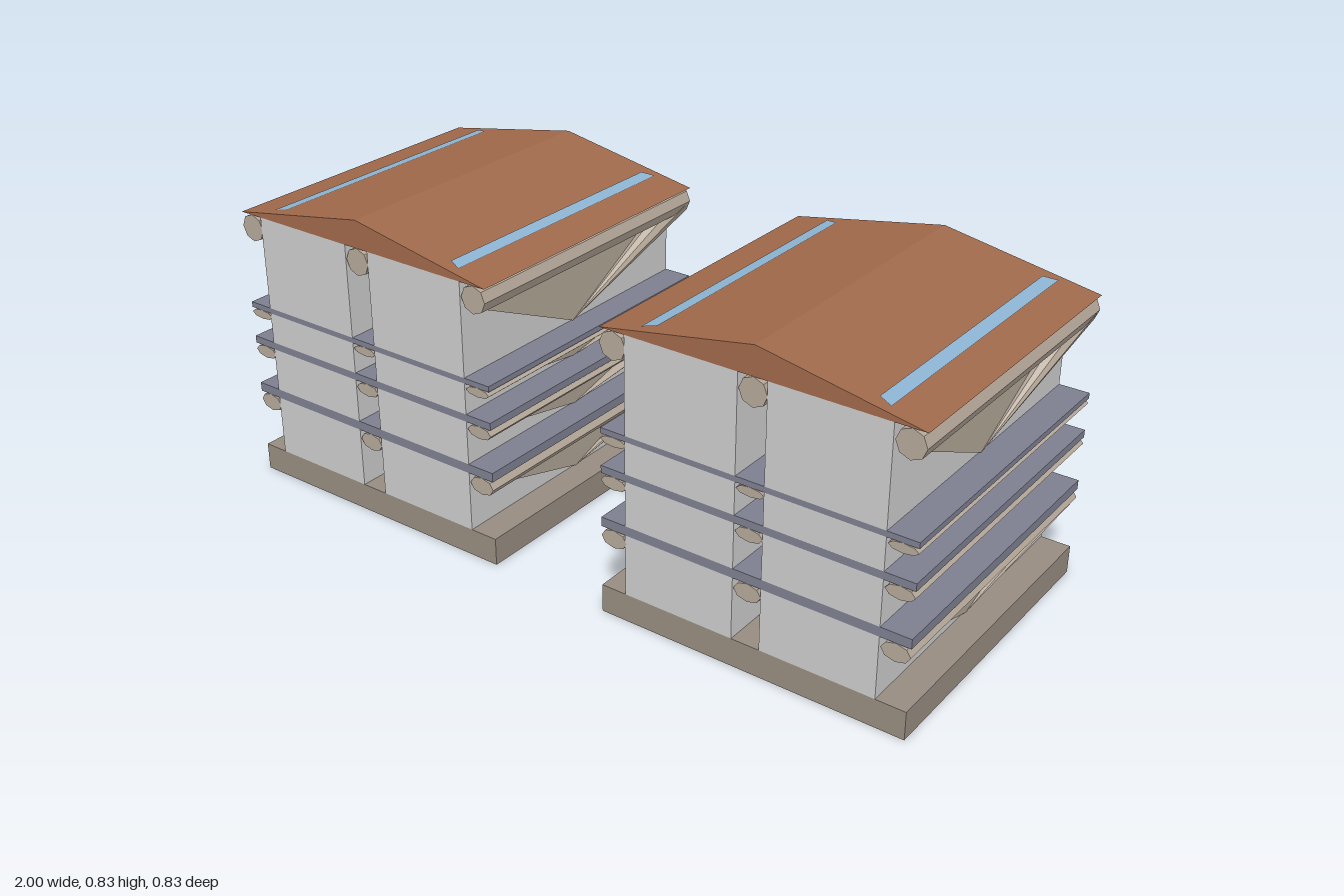
import * as THREE from 'three';

const HALF = 0.415;            // half the width and depth of one building
const BASE_H = 0.075;
const STOREYS = [[0.075, 0.24], [0.265, 0.385], [0.405, 0.49], [0.505, 0.76]];
const SLABS = [[0.24, 0.265], [0.385, 0.405], [0.49, 0.505]];
const ROOF_Y = 0.76, RIDGE_Y = 0.835;

const mat = (color, side = THREE.FrontSide) =>
  new THREE.MeshStandardMaterial({ color, side, flatShading: true });

const M = {
  wall: mat(0xcccccc),
  base: mat(0x968c80),
  slab: mat(0x7d7f90),
  roof: mat(0xa0694b),
  glass: mat(0x8cb4d2, THREE.DoubleSide),
  beam: mat(0xb5a899, THREE.DoubleSide),
};

function add(parent, name, geometry, material) {
  const mesh = new THREE.Mesh(geometry, material);
  mesh.name = name;
  parent.add(mesh);
  return mesh;
}

// box from x, y ranges, running the full depth
function slabBox(x0, x1, y0, y1) {
  return new THREE.BoxGeometry(x1 - x0, y1 - y0, 2 * HALF)
    .translate((x0 + x1) / 2, (y0 + y1) / 2, 0);
}

// eight-sided beam with a fan and a web running down to one foot point
function bracketGeometry(y0, y1) {
  const h = y1 - y0, ry = 0.145 * h, rx = 0.037, cy = y1 - ry, n = 8;
  const ring = (i, z) => {
    const a = (i / n) * Math.PI * 2;
    return [rx * Math.cos(a), cy + ry * Math.sin(a), z];
  };
  const foot = [-rx, y0, 0], centre = [0, cy, HALF];
  const p = [];
  const tri = (a, b, c) => p.push(...a, ...b, ...c);
  for (let i = 0; i < n; i++) {
    const f0 = ring(i, HALF), f1 = ring(i + 1, HALF);
    const b0 = ring(i, -HALF), b1 = ring(i + 1, -HALF);
    tri(f0, b0, b1);
    tri(f0, b1, f1);
    tri(centre, f0, f1);   // front cap
    tri(b1, b0, foot);     // fan from the back end to the foot
  }
  tri(ring(5, HALF), foot, ring(5, -HALF));   // web under the beam
  const g = new THREE.BufferGeometry();
  g.setAttribute('position', new THREE.Float32BufferAttribute(p, 3));
  g.computeVertexNormals();
  return g;
}

function roofGeometry() {
  const s = new THREE.Shape();
  s.moveTo(-HALF, ROOF_Y);
  s.lineTo(HALF, ROOF_Y);
  s.lineTo(0, RIDGE_Y);
  s.closePath();
  return new THREE.ExtrudeGeometry(s, { depth: 2 * HALF, bevelEnabled: false })
    .translate(0, 0, -HALF);
}

// narrow strip lying on the roof slope, slightly longer at its outer edge
function skylightGeometry(side) {
  const y = d => RIDGE_Y - ((RIDGE_Y - ROOF_Y) * d) / HALF + 0.002;
  const inner = 0.28, outer = 0.315;
  const g = new THREE.BufferGeometry();
  g.setAttribute('position', new THREE.Float32BufferAttribute([
    side * inner, y(inner), 0.378, side * outer, y(outer), 0.392,
    side * outer, y(outer), -0.392, side * inner, y(inner), -0.378], 3));
  g.setIndex(side > 0 ? [0, 1, 2, 0, 2, 3] : [0, 2, 1, 0, 3, 2]);
  g.computeVertexNormals();
  return g;
}

function createBuilding() {
  const b = new THREE.Group();
  add(b, 'base', slabBox(-HALF, HALF, 0, BASE_H), M.base);

  // two wall blocks and three brackets on every storey
  for (const [y0, y1] of STOREYS) {
    add(b, 'wallBlock', slabBox(-0.345, -0.042, y0, y1), M.wall);
    add(b, 'wallBlock', slabBox(0.034, 0.337, y0, y1), M.wall);
    const bracket = bracketGeometry(y0, y1);
    for (const x of [-0.378, -0.002, 0.378])
      add(b, 'bracketBeam', bracket, M.beam).position.x = x;
  }
  for (const [y0, y1] of SLABS)
    add(b, 'floorSlab', slabBox(-HALF, HALF, y0, y1), M.slab);

  add(b, 'roof', roofGeometry(), M.roof);
  for (const side of [-1, 1]) add(b, 'skylight', skylightGeometry(side), M.glass);
  return b;
}

export function createModel() {
  const model = new THREE.Group();
  model.name = 'twinBuildings';
  for (const side of [-1, 1]) {
    const building = createBuilding();
    building.name = side > 0 ? 'leftBuilding' : 'rightBuilding';
    building.position.x = side * (1 - HALF);
    model.add(building);
  }
  return model;
}
